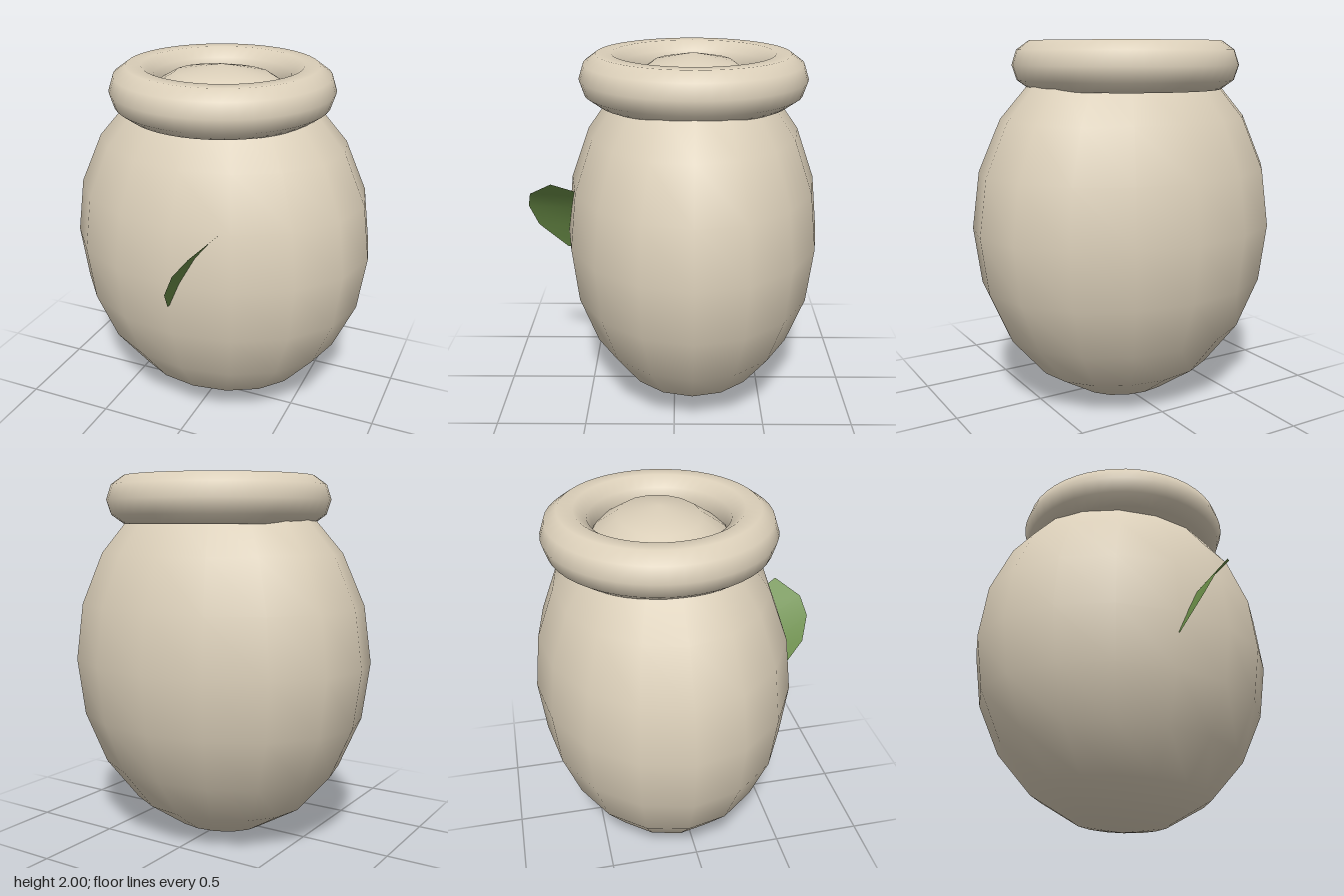
import * as THREE from 'three';

const CENTER_Z = -0.1;

// Curled leaf: an outer rim of points joined to a root line sunk in the jar wall
function leafGeometry() {
  const rim = [
    [0, 0.88, 0.62], [0.06, 1.04, 0.77], [0.125, 1.175, 0.81],
    [0.2, 1.27, 0.785], [0.295, 1.355, 0.655],
  ];
  const root = [
    [0, 0.88, 0.58], [0.065, 1.03, 0.56], [0.137, 1.168, 0.55],
    [0.205, 1.255, 0.54], [0.25, 1.3, 0.535],
  ];
  const index = [];
  for (let i = 0; i < rim.length - 1; i++) {
    const a = i, b = i + 1, c = i + rim.length, d = c + 1;
    index.push(a, b, c, b, d, c);
  }
  const g = new THREE.BufferGeometry();
  g.setAttribute('position', new THREE.Float32BufferAttribute([...rim, ...root].flat(), 3));
  g.setIndex(index);
  g.computeVertexNormals();
  return g;
}

export function createModel() {
  const clay = new THREE.MeshStandardMaterial({ color: 0xdcd0ba });
  clay.name = 'clay';
  const green = new THREE.MeshStandardMaterial({ color: 0x6b8e48, side: THREE.DoubleSide });
  green.name = 'leafGreen';

  const group = new THREE.Group();
  const add = (name, geometry, material) => {
    const mesh = new THREE.Mesh(geometry, material);
    mesh.name = name;
    group.add(mesh);
    return mesh;
  };

  // Egg-shaped belly, narrower front to back
  const body = add('jarBody', new THREE.SphereGeometry(1, 16, 10), clay);
  body.scale.set(0.87, 1, 0.71);
  body.position.set(0, 1, CENTER_Z);

  // Thick round lip
  const rim = add('jarRim', new THREE.TorusGeometry(0.48, 0.135, 10, 48), clay);
  rim.rotation.x = Math.PI / 2;
  rim.position.set(0, 1.872, CENTER_Z);

  // Small leaf growing from the front
  add('leaf', leafGeometry(), green);

  return group;
}
